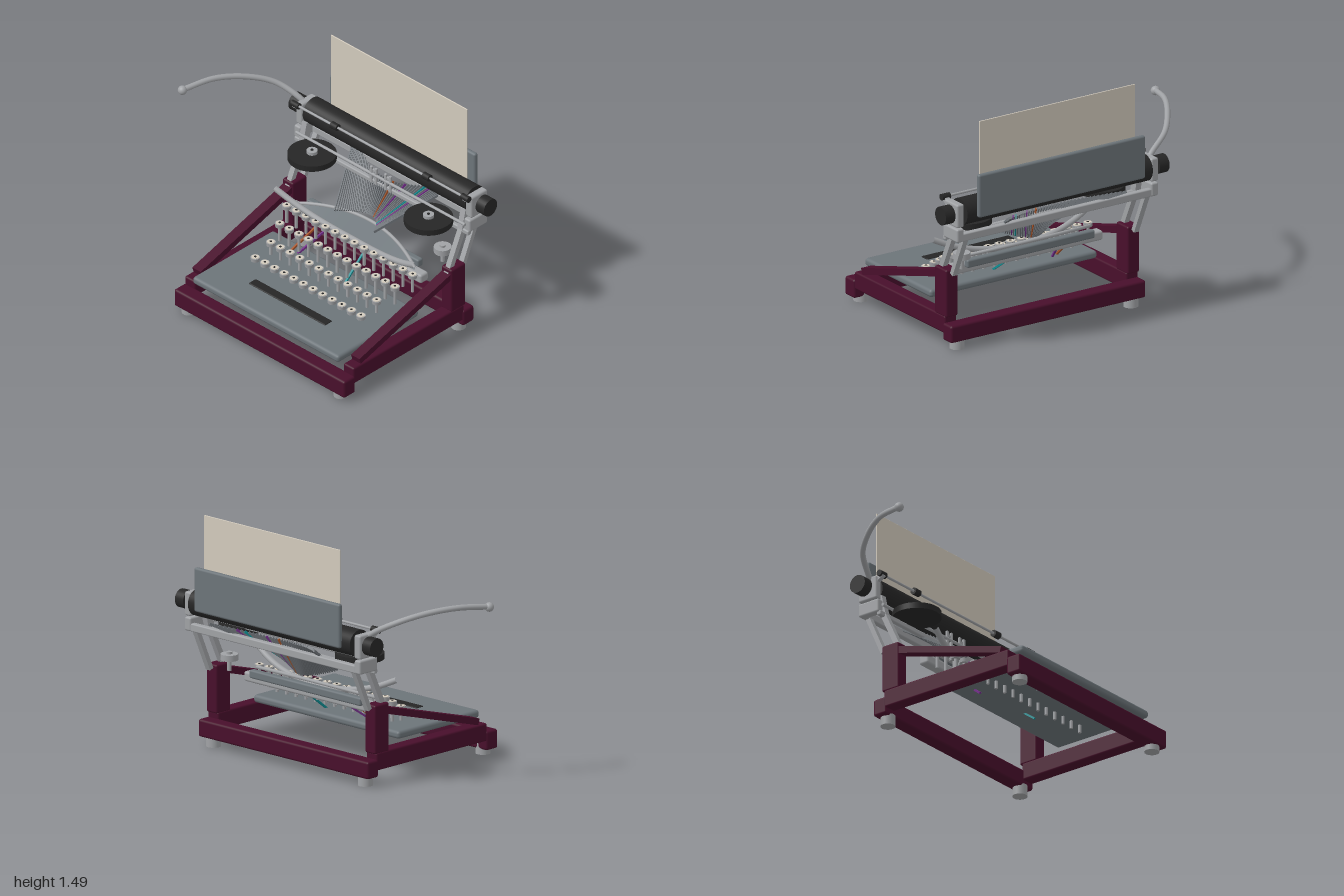
import * as THREE from 'three';
import { RoundedBoxGeometry } from 'three/addons/geometries/RoundedBoxGeometry.js';

const mat = (name, color, side = THREE.FrontSide) => {
  const m = new THREE.MeshStandardMaterial({ color, side });
  m.name = name;
  return m;
};

export function createModel() {
  const model = new THREE.Group();
  model.name = 'typewriter';
  const maroon = mat('maroon enamel', 0x480f2b);
  const black = mat('black rubber', 0x262626);
  const steel = mat('light steel', 0xa0a2a5);
  const grey = mat('grey enamel', 0x6c7479, THREE.DoubleSide);
  const typeSteel = mat('type bar steel', 0x70757a);
  const cream = mat('cream', 0xd2cabc);
  const teal = mat('teal', 0x0f8f94);
  const orange = mat('orange', 0xa8552a);
  const purple = mat('purple', 0x74308a);
  const CX = 0.21;
  const V = (x, y, z) => new THREE.Vector3(x, y, z);

  const add = (name, geo, material, x = 0, y = 0, z = 0) => {
    const mesh = new THREE.Mesh(geo, material);
    mesh.name = name;
    mesh.position.set(x, y, z);
    model.add(mesh);
    return mesh;
  };
  // box given by its limits on each axis
  const box = (name, m, x0, x1, y0, y1, z0, z1, r = 0.008) =>
    add(name, new RoundedBoxGeometry(x1 - x0, y1 - y0, z1 - z0, 2, r), m,
      (x0 + x1) / 2, (y0 + y1) / 2, (z0 + z1) / 2);
  const disc = (name, m, r, h, x, y, z, n = 24) =>
    add(name, new THREE.CylinderGeometry(r, r, h, n), m, x, y, z);
  const rodX = (name, m, r, x0, x1, y, z, n = 32) => {
    const o = disc(name, m, r, x1 - x0, (x0 + x1) / 2, y, z, n);
    o.rotation.z = Math.PI / 2;
    return o;
  };
  // bar of rectangular section from a to b
  const bar = (name, m, a, b, w, d) => {
    const o = add(name, new THREE.BoxGeometry(w, d, a.distanceTo(b)), m);
    o.position.copy(a).add(b).multiplyScalar(0.5);
    o.lookAt(b);
    return o;
  };
  const tube = (name, m, pts, r, n = 40) =>
    add(name, new THREE.TubeGeometry(new THREE.CatmullRomCurve3(pts), n, r, 10), m);

  // base frame
  box('frontRail', maroon, -0.505, 0.93, 0.035, 0.155, 0.56, 0.66, 0.015);
  box('backRail', maroon, -0.505, 0.93, 0.055, 0.165, -0.47, -0.375, 0.015);
  for (const s of [-1, 1]) {
    const x = CX + s * 0.668;
    box('sideRail', maroon, x - 0.044, x + 0.044, 0.095, 0.208, -0.39, 0.57, 0.012);
    box('rearPost', maroon, x - 0.044, x + 0.044, 0.2, 0.506, -0.405, -0.28, 0.012);
    bar('diagonalBrace', maroon, V(x, 0.226, 0.505), V(x, 0.458, -0.3), 0.07, 0.042);
    for (const z of [0.605, -0.415]) disc('foot', steel, 0.046, 0.07, CX + s * 0.64, 0.035, z);
    // slanted carriage supports
    const ax = CX + s * 0.668;
    bar('carriageSupport', steel, V(ax, 0.46, -0.29), V(ax, 0.75, -0.425), 0.036, 0.036);
    bar('carriageSupport', steel, V(ax, 0.48, -0.42), V(ax, 0.75, -0.54), 0.036, 0.03);
    bar('upperBracket', steel, V(ax, 0.73, -0.42), V(ax, 0.86, -0.45), 0.04, 0.05);
  }

  // keyboard deck and space bar
  box('deck', grey, -0.405, 0.825, 0.216, 0.266, -0.1, 0.605, 0.02);
  box('spaceBar', black, -0.11, 0.535, 0.25, 0.272, 0.355, 0.42, 0.008);
  box('spaceBarLever', grey, 0.01, 0.41, 0.165, 0.22, 0.375, 0.41);

  // keys: [count, first x, last x, cap height, z]
  const rows = [[12, -0.25, 0.64, 0.285, 0.215], [12, -0.23, 0.66, 0.35, 0.1],
    [13, -0.27, 0.70, 0.41, -0.018], [14, -0.315, 0.745, 0.468, -0.125]];
  const stemG = new THREE.CylinderGeometry(0.01, 0.01, 0.12, 10);
  const ringG = new THREE.CylinderGeometry(0.03, 0.027, 0.024, 20);
  const topG = new THREE.CylinderGeometry(0.024, 0.024, 0.004, 20);
  const dotG = new THREE.CylinderGeometry(0.008, 0.008, 0.003, 10);
  for (const [n, x0, x1, y, z] of rows)
    for (let i = 0; i < n; i++) {
      const x = x0 + (x1 - x0) * i / (n - 1);
      add('keyStem', stemG, steel, x, y - 0.06, z);
      add('keyRing', ringG, steel, x, y - 0.004, z);
      add('keyTop', topG, cream, x, y + 0.009, z);
      add('keyDot', dotG, black, x, y + 0.011, z);
    }

  // key lever mounts
  box('leverMount', steel, -0.35, 0.77, 0.388, 0.45, -0.24, -0.17, 0.015);
  box('rearLeverMount', grey, -0.26, 0.68, 0.432, 0.485, -0.285, -0.24, 0.012);

  // coloured key levers
  bar('keyLever', teal, V(0.31, 0.165, 0.13), V(0.28, 0.43, -0.23), 0.012, 0.012);
  bar('keyLever', orange, V(-0.18, 0.24, 0.03), V(-0.1, 0.42, -0.22), 0.012, 0.012);
  bar('keyLever', purple, V(-0.18, 0.165, 0.1), V(-0.04, 0.4, -0.2), 0.012, 0.012);

  // curved guard with a lens shaped cover behind it
  const guardY = u => 0.455 + 0.13 * Math.pow(Math.abs(u), 2.4);
  const guard = [];
  for (let i = -5; i <= 5; i++) {
    const u = i / 5;
    guard.push(V(CX + 0.59 * u, guardY(u), -0.165 + 0.075 * u * u));
  }
  tube('frontGuard', steel, guard, 0.019, 60);
  const arc = [], lens = [], idx = [];
  for (let i = 0; i <= 20; i++) {
    const u = i / 10 - 1, k = 1 - u * u;
    const back = V(CX + 0.5 * u, 0.475 + 0.05 * k, -0.18 - 0.125 * k);
    arc.push(back);
    lens.push(CX + 0.5 * u, 0.465, -0.175, back.x, back.y, back.z);
    if (i < 20) {
      const a = 2 * i;
      idx.push(a, a + 2, a + 1, a + 1, a + 2, a + 3);
    }
  }
  tube('rearArc', steel, arc, 0.011);
  const lensG = new THREE.BufferGeometry();
  lensG.setAttribute('position', new THREE.Float32BufferAttribute(lens, 3));
  lensG.setIndex(idx);
  lensG.computeVertexNormals();
  add('lensCover', lensG, grey);

  // shift knob
  disc('knobStem', steel, 0.014, 0.08, 0.775, 0.515, -0.355);
  disc('shiftKnob', steel, 0.054, 0.038, 0.775, 0.562, -0.355);
  disc('knobCap', steel, 0.018, 0.015, 0.775, 0.587, -0.355);

  // fan of type bars
  const N = 44;
  const accents = { 25: orange, 29: purple, 35: teal, 37: purple };
  for (let i = 0; i < N; i++) {
    const t = 2 * i / (N - 1) - 1, q = t * t;
    bar('typeBar', accents[i] || typeSteel,
      V(CX + 0.165 * t, 0.555 + 0.03 * q, -0.32 + 0.15 * q),
      V(CX + 0.44 * t, 0.78 + 0.07 * q, -0.43 - 0.225 * q), 0.007, 0.016);
  }

  // ribbon spools
  for (const x of [-0.28, 0.7]) {
    disc('ribbonSpool', black, 0.15, 0.038, x, 0.766, -0.31, 40);
    disc('spoolHub', steel, 0.034, 0.022, x, 0.794, -0.31);
    disc('spoolPin', black, 0.01, 0.006, x, 0.805, -0.31, 12);
  }

  // carriage rails
  box('carriageRail', steel, -0.52, 0.945, 0.714, 0.746, -0.43, -0.4);
  box('rearCarriageRail', steel, -0.52, 0.945, 0.735, 0.785, -0.56, -0.52);
  rodX('ribbonRail', steel, 0.01, -0.5, 0.92, 0.786, -0.4, 12);

  // type guide
  for (const x of [0.13, 0.17, 0.25, 0.29])
    box('typeGuidePost', steel, x - 0.009, x + 0.009, 0.72, 0.838, -0.41, -0.395, 0.003);
  for (const x of [0.15, 0.27])
    box('typeGuideTop', steel, x - 0.022, x + 0.022, 0.8, 0.82, -0.415, -0.4, 0.003);

  // platen with end plates and knobs
  rodX('platen', black, 0.084, -0.47, 0.895, 0.914, -0.508, 40);
  rodX('platenAxle', steel, 0.02, -0.56, 0.98, 0.912, -0.505, 16);
  for (const s of [-1, 1]) {
    const x = CX + s * 0.715, k = CX + s * 0.753;
    box('endPlate', steel, x - 0.026, x + 0.026, 0.83, 0.98, -0.565, -0.425, 0.012);
    box('endFoot', steel, x - 0.026, x + 0.026, 0.735, 0.822, -0.565, -0.41, 0.012);
    rodX('platenKnob', black, 0.058, k + s * 0.035 - 0.035, k + s * 0.035 + 0.035, 0.912, -0.505);
    bar('bailArm', steel, V(x, 0.985, -0.39), V(x, 0.93, -0.47), 0.03, 0.03);
  }
  // paper bail
  rodX('bailRod', steel, 0.008, -0.5, 0.925, 0.985, -0.4, 12);
  for (const x of [-0.175, 0.6]) rodX('bailRoller', black, 0.022, x - 0.026, x + 0.026, 0.985, -0.4, 20);
  for (const s of [-1, 1]) rodX('bailCap', black, 0.02, CX + s * 0.715 - 0.03, CX + s * 0.715 + 0.03, 0.985, -0.4, 20);

  // paper and its rest
  box('paper', cream, -0.36, 0.785, 0.93, 1.488, -0.564, -0.556, 0.002);
  box('paperRest', grey, -0.402, 0.825, 0.885, 1.163, -0.614, -0.582, 0.014);

  // carriage return lever
  tube('returnLever', steel, [V(-0.5, 0.94, -0.49), V(-0.54, 0.98, -0.475), V(-0.68, 1.06, -0.41),
    V(-0.8, 1.115, -0.27), V(-0.9, 1.137, -0.1), V(-0.97, 1.12, 0.1)], 0.018);
  add('leverBall', new THREE.SphereGeometry(0.029, 20, 14), steel, -0.971, 1.117, 0.103);

  return model;
}
